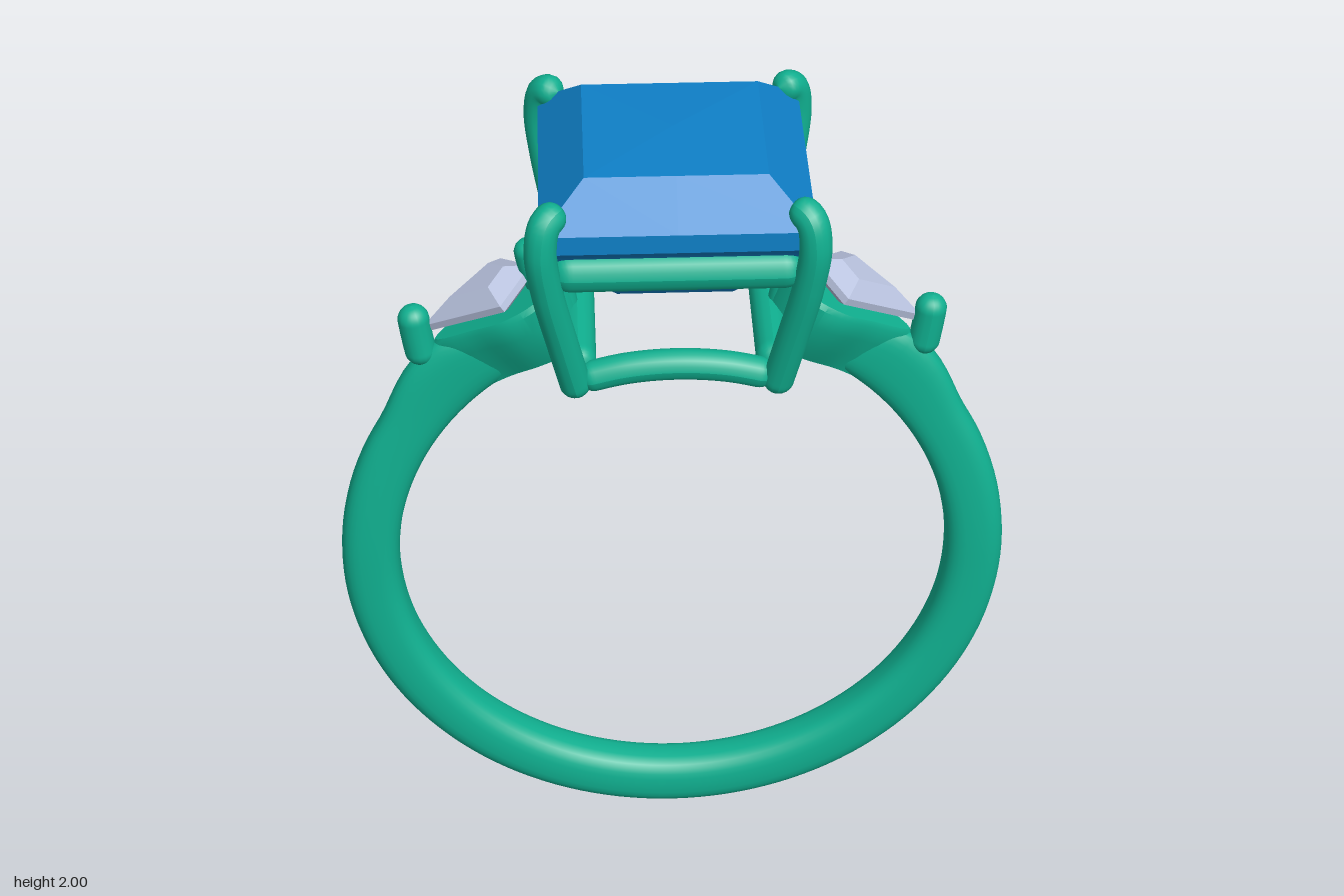
import * as THREE from 'three';
import { toCreasedNormals } from 'three/addons/utils/BufferGeometryUtils.js';
import { ConvexGeometry } from 'three/addons/geometries/ConvexGeometry.js';

const metal = new THREE.MeshStandardMaterial({ color: 0x10b090 });
const blue = new THREE.MeshStandardMaterial({ color: 0x0f80c8, flatShading: true });
const pale = new THREE.MeshStandardMaterial({ color: 0xb8c2de, flatShading: true });
const V = (x, y, z = 0) => new THREE.Vector3(x, y, z);
const CY = 0.805, INNER = 0.665; // centre height and radius of the finger hole

function mesh(name, geometry, material = metal) {
  const m = new THREE.Mesh(geometry, material);
  m.name = name;
  return m;
}

// Surface through rows of points; each row is a closed loop
function loft(rows, cols, point) {
  const pos = [], index = [];
  for (let i = 0; i <= rows; i++)
    for (let j = 0; j < cols; j++) pos.push(...point(i, j).toArray());
  for (let i = 0; i < rows; i++)
    for (let j = 0; j < cols; j++) {
      const k = (j + 1) % cols, a = i * cols + j, b = a + cols, c = i * cols + k, d = c + cols;
      index.push(a, b, c, b, d, c);
    }
  const g = new THREE.BufferGeometry();
  g.setAttribute('position', new THREE.Float32BufferAttribute(pos, 3));
  g.setIndex(index);
  g.computeVertexNormals();
  return g;
}

// Round wire along a path, with domed ends
function rod(name, points, r) {
  const curve = new THREE.CatmullRomCurve3(points), n = 64, sides = 16;
  const g = new THREE.TubeGeometry(curve, n, r, sides);
  const cap = r / curve.getLength(), p = g.attributes.position, v = V(0, 0);
  for (let i = 0; i <= n; i++) {
    const centre = curve.getPointAt(i / n);
    const s = Math.min(1, Math.min(i, n - i) / n / cap);
    const f = Math.sqrt(1 - (1 - s) ** 2);
    for (let j = 0; j <= sides; j++) {
      const k = i * (sides + 1) + j;
      v.fromBufferAttribute(p, k).sub(centre).multiplyScalar(f).add(centre);
      p.setXYZ(k, v.x, v.y, v.z);
    }
  }
  g.computeVertexNormals();
  return mesh(name, g);
}

// Open band, softly squared section, narrower and taller at the shoulders
function band() {
  const rows = 120, cols = 28;
  const soft = (t) => Math.sign(t) * Math.abs(t) ** 0.75;
  return mesh('band', loft(rows, cols, (i, j) => {
    const a = THREE.MathUtils.degToRad(-241 + (302 * i) / rows);
    const v = (j / cols) * Math.PI * 2, up = Math.sin(a);
    const outer = 0.805 + 0.035 * THREE.MathUtils.smoothstep(up, 0.5, 0.72)
      - 0.05 * THREE.MathUtils.smoothstep(up, 0.75, 0.88);
    const half = 0.06 - 0.022 * THREE.MathUtils.smoothstep(up, 0, 0.75);
    const r = (outer + INNER) / 2 + soft(Math.cos(v)) * (outer - INNER) / 2;
    return V(r * Math.cos(a), CY + r * up, soft(Math.sin(v)) * half);
  }));
}

// Square stone: eight-sided lathe pushed out to a square
function centreStone() {
  const profile = [[0, 1.56], [0.13, 1.645], [0.2, 1.73], [0.28, 1.84], [0.3, 1.86], [0.3, 1.905], [0.2, 1.993], [0, 2]];
  const g = new THREE.LatheGeometry(profile.map(([r, y]) => new THREE.Vector2(r, y)), 8);
  const p = g.attributes.position;
  for (let i = 0; i < p.count; i++) {
    const x = p.getX(i), z = p.getZ(i);
    if (Math.abs(Math.abs(x) - Math.abs(z)) < 1e-4)
      p.setXYZ(i, x * Math.SQRT2, p.getY(i), z * Math.SQRT2);
  }
  return mesh('centreStone', g, blue);
}

// Sloping frame of the side stone: u runs inward, w across, h above the girdle
const slope = (u, w, h) => V(0.57 - 0.842 * u + 0.539 * h, 1.475 + 0.539 * u + 0.842 * h, w);

function sideStone() {
  const kite = [[0, 0], [0.214, 0.1], [0.297, 0], [0.214, -0.1]];
  const points = [slope(0.2, 0, -0.06)];
  for (const [u, w] of kite) {
    points.push(slope(u, w, -0.01), slope(u, w, 0.008));
    points.push(slope(0.19 + (u - 0.19) * 0.5, w * 0.5, 0.04));
  }
  return mesh('sideStone', new ConvexGeometry(points), pale);
}

// Cup under the side stone, running down to the finger hole
function sideCup() {
  const outline = new THREE.CatmullRomCurve3(
    [[-0.015, 0], [0.1, -0.06], [0.2, -0.1], [0.3, -0.09], [0.355, 0], [0.3, 0.09], [0.2, 0.1], [0.1, 0.06]]
      .map(([u, w]) => V(u, w)), true);
  const ring = outline.getPoints(40);
  const levels = [[0, 0], [0.92, 0], [1, 0.07], [1, 0.35], [1, 0.7], [1, 1], [0.5, 1], [0, 1]];
  const g = loft(levels.length - 1, 40, (i, j) => {
    const [k, f] = levels[i];
    const p = slope(0.18 + (ring[j].x - 0.18) * k, ring[j].y * k, -0.035);
    const r = Math.hypot(p.x, p.y - CY), s = THREE.MathUtils.lerp(1, (INNER + 0.004) / r, f);
    return V(p.x * s, CY + (p.y - CY) * s, p.z * (1 - 0.45 * f * f));
  });
  return mesh('sideCup', toCreasedNormals(g, 0.7));
}

function shoulder() {
  const g = new THREE.Group();
  g.name = 'shoulder';
  g.add(
    sideCup(), sideStone(),
    rod('outerBead', [V(0.58, 1.38), V(0.592, 1.46), V(0.601, 1.537)], 0.037),
    rod('innerBead', [V(0.29, 1.56), V(0.32, 1.64), V(0.333, 1.712)], 0.033),
    rod('railPost', [V(0.24, 1.5), V(0.262, 1.64), V(0.27, 1.77)], 0.028),
    rod('lowerSideRail', [V(0.22, 1.505, -0.22), V(0.22, 1.505, 0.22)], 0.04),
  );
  return g;
}

export function createModel() {
  const model = new THREE.Group();
  model.name = 'ring';
  model.add(band(), centreStone());

  // Both shoulders
  for (const turn of [0, Math.PI]) {
    const s = shoulder();
    s.rotation.y = turn;
    model.add(s);
  }

  // Four claws, bent over the corners of the stone
  const claw = [[0.222, 1.44], [0.255, 1.6], [0.286, 1.76], [0.297, 1.87], [0.285, 1.93], [0.25, 1.945]];
  for (const sx of [-1, 1])
    for (const sz of [-1, 1])
      model.add(rod('claw', claw.map(([d, y]) => V(d * sx, y, d * sz)), 0.036));

  // Square gallery under the stone
  for (let i = 0; i < 4; i++) {
    const rail = rod('galleryRail', [V(-0.28, 1.79, 0.255), V(0.28, 1.79, 0.255)], 0.047);
    rail.rotation.y = (i * Math.PI) / 2;
    model.add(rail);
  }

  // Curved lower rails following the finger hole
  for (const z of [-0.22, 0.22]) {
    const arc = [-0.22, -0.11, 0, 0.11, 0.22].map((x) => V(x, CY + Math.sqrt(0.708 ** 2 - x * x), z));
    model.add(rod('lowerRail', arc, 0.036));
  }
  return model;
}
